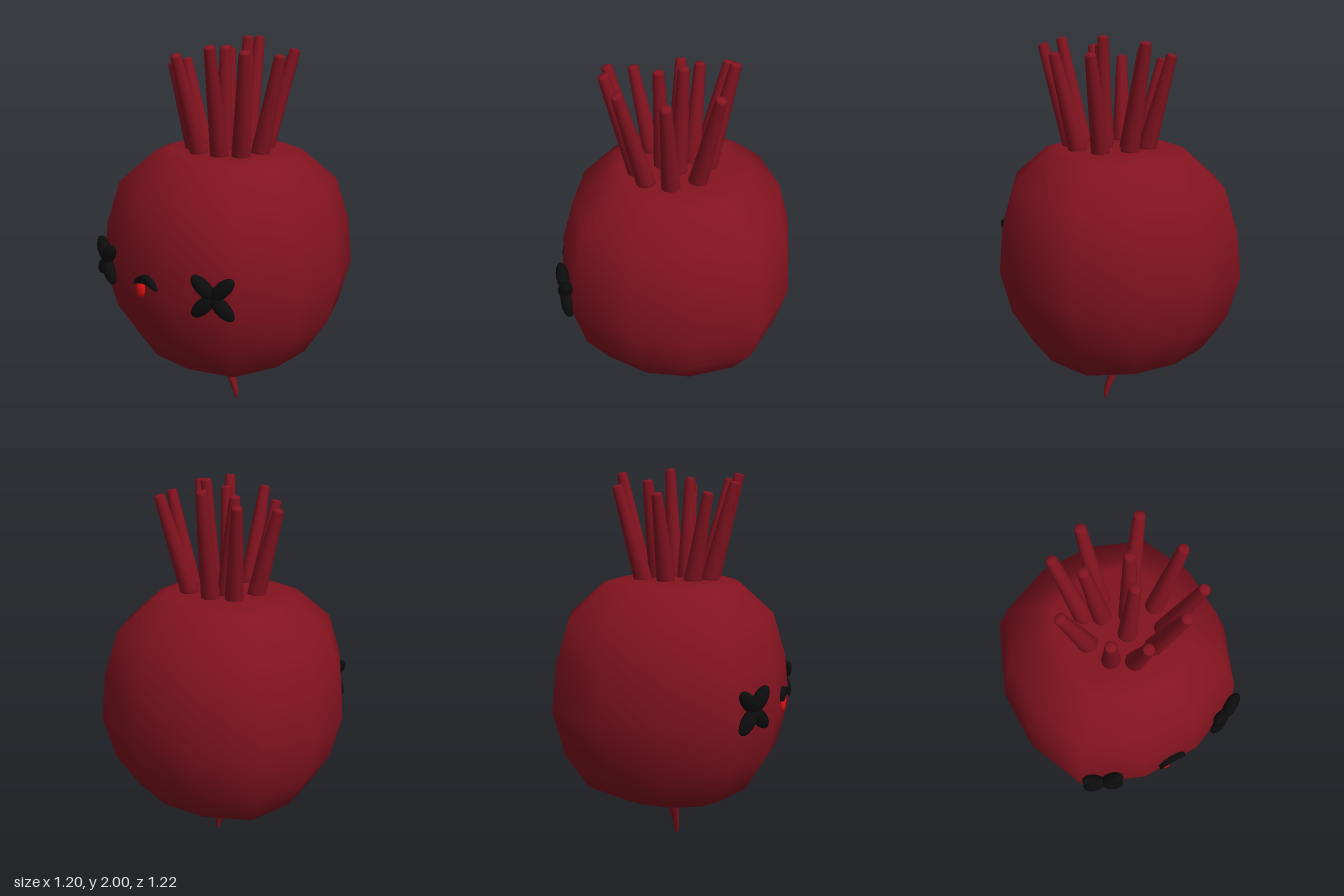
import * as THREE from 'three';
import { mergeVertices } from 'three/addons/utils/BufferGeometryUtils.js';

const red = new THREE.MeshStandardMaterial({ color: 0x82131f });
const black = new THREE.MeshStandardMaterial({ color: 0x0c0c0c });
const bright = new THREE.MeshStandardMaterial({ color: 0xdd1111 });

function add(parent, name, geometry, material) {
  const mesh = new THREE.Mesh(geometry, material);
  mesh.name = name;
  parent.add(mesh);
  return mesh;
}

// Merge the seam so the shading is smooth all round
function smooth(geometry) {
  geometry.deleteAttribute('uv');
  geometry.deleteAttribute('normal');
  const merged = mergeVertices(geometry, 1e-4);
  merged.computeVertexNormals();
  return merged;
}

const profile = (pts) => pts.map(([r, y]) => new THREE.Vector2(r, y));

// Twelve-sided bulb, pushed out a little at the four diagonals
function bodyGeometry() {
  const pts = [[0, 0.24], [0.05, 0.25], [0.29, 0.305], [0.435, 0.385], [0.545, 0.575], [0.6, 0.81],
    [0.575, 1.05], [0.51, 1.27], [0.345, 1.425], [0.28, 1.445], [0, 1.455]];
  const widen = 1 / Math.cos(Math.PI / 12);
  const geo = new THREE.LatheGeometry(profile(pts.map(([r, y]) => [r * widen, y])), 12, Math.PI / 12);
  const p = geo.attributes.position;
  for (let i = 0; i < p.count; i++) {
    const x = p.getX(i), z = p.getZ(i);
    const s = Math.abs(Math.abs(x) - Math.abs(z)) < 0.01 ? 1.07 : 1;
    p.setX(i, x * s);
    p.setZ(i, z * s);
  }
  return smooth(geo);
}

// Tapering root whose rings drift sideways along a curve
function rootGeometry() {
  const rings = [[0, 0, 0.062], [0.008, 0.015, 0.063], [0.015, 0.05, 0.06], [0.02, 0.1, 0.041],
    [0.026, 0.15, 0.02], [0.035, 0.2, 0.004], [0.046, 0.245, -0.004], [0.075, 0.27, -0.006]];
  const geo = new THREE.LatheGeometry(profile(rings), 12);
  const p = geo.attributes.position;
  for (let i = 0; i < p.count; i++) {
    p.setX(i, p.getX(i) + rings[i % rings.length][2]);
  }
  return smooth(geo);
}

// Tapered stalk with a softened tip, running between two points
function addStem(parent, [bx, bz, tx, ty, tz]) {
  const base = new THREE.Vector3(bx, 1.41, bz);
  const dir = new THREE.Vector3(tx, ty, tz).sub(base);
  const h = dir.length();
  const pts = [[0, 0], [0.048, 0], [0.046, 0.06], [0.027, h - 0.012], [0.022, h - 0.002], [0, h]];
  const stem = add(parent, 'stem', smooth(new THREE.LatheGeometry(profile(pts), 12)), red);
  stem.position.copy(base);
  stem.quaternion.setFromUnitVectors(new THREE.Vector3(0, 1, 0), dir.normalize());
}

// Crossed eye made of four rounded lobes
function createEye(side) {
  const eye = new THREE.Group();
  eye.name = side > 0 ? 'leftEye' : 'rightEye';
  for (let i = 0; i < 4; i++) {
    const a = Math.PI / 4 + i * Math.PI / 2;
    const lobe = add(eye, 'eyeLobe', new THREE.SphereGeometry(1, 16, 12), black);
    lobe.scale.set(0.076, 0.036, 0.034);
    lobe.position.set(Math.cos(a) * 0.065, Math.sin(a) * 0.065, 0);
    lobe.rotation.z = a;
  }
  eye.position.set(side * 0.372, 0.882, 0.522);
  eye.rotation.y = side * 0.41;
  return eye;
}

export function createModel() {
  const model = new THREE.Group();
  model.name = 'beet';

  const body = add(model, 'body', bodyGeometry(), red);
  body.position.z = -0.007;
  add(model, 'root', rootGeometry(), red);

  // Stems: base x, base z, tip x, tip y, tip z
  const stems = new THREE.Group();
  stems.name = 'stems';
  model.add(stems);
  [
    [-0.15, 0.015, -0.275, 1.875, 0.01], [-0.105, -0.115, -0.185, 1.915, -0.23],
    [0.005, -0.15, -0.02, 1.98, -0.27], [0.14, -0.115, 0.245, 1.935, -0.225],
    [0.205, 0, 0.33, 1.925, 0.005], [0.185, 0.115, 0.297, 1.955, 0.222],
    [0.1, 0.17, 0.16, 1.975, 0.305], [-0.01, 0.19, -0.033, 1.93, 0.33],
    [-0.1, 0.13, -0.152, 1.88, 0.228], [-0.03, -0.07, -0.1, 1.94, -0.1],
    [0.075, -0.015, 0.092, 2.0, -0.045], [0.025, 0.06, 0.05, 1.955, 0.075],
  ].forEach((s) => addStem(stems, s));

  model.add(createEye(1), createEye(-1));

  // Crescent mouth
  const arc = new THREE.Shape();
  arc.moveTo(-0.07, 0.86);
  arc.bezierCurveTo(-0.045, 0.925, 0.045, 0.925, 0.073, 0.86);
  arc.bezierCurveTo(0.035, 0.885, -0.03, 0.885, -0.07, 0.86);
  add(model, 'mouth', new THREE.ExtrudeGeometry(arc, {
    depth: 0.03, curveSegments: 12, bevelSize: 0.005, bevelThickness: 0.008, bevelSegments: 3,
  }), black).position.z = 0.573;

  // Tongue hanging from the mouth
  const tongue = add(model, 'tongue', new THREE.SphereGeometry(1, 16, 12), bright);
  tongue.scale.set(0.028, 0.045, 0.018);
  tongue.position.set(-0.036, 0.838, 0.594);

  return model;
}
